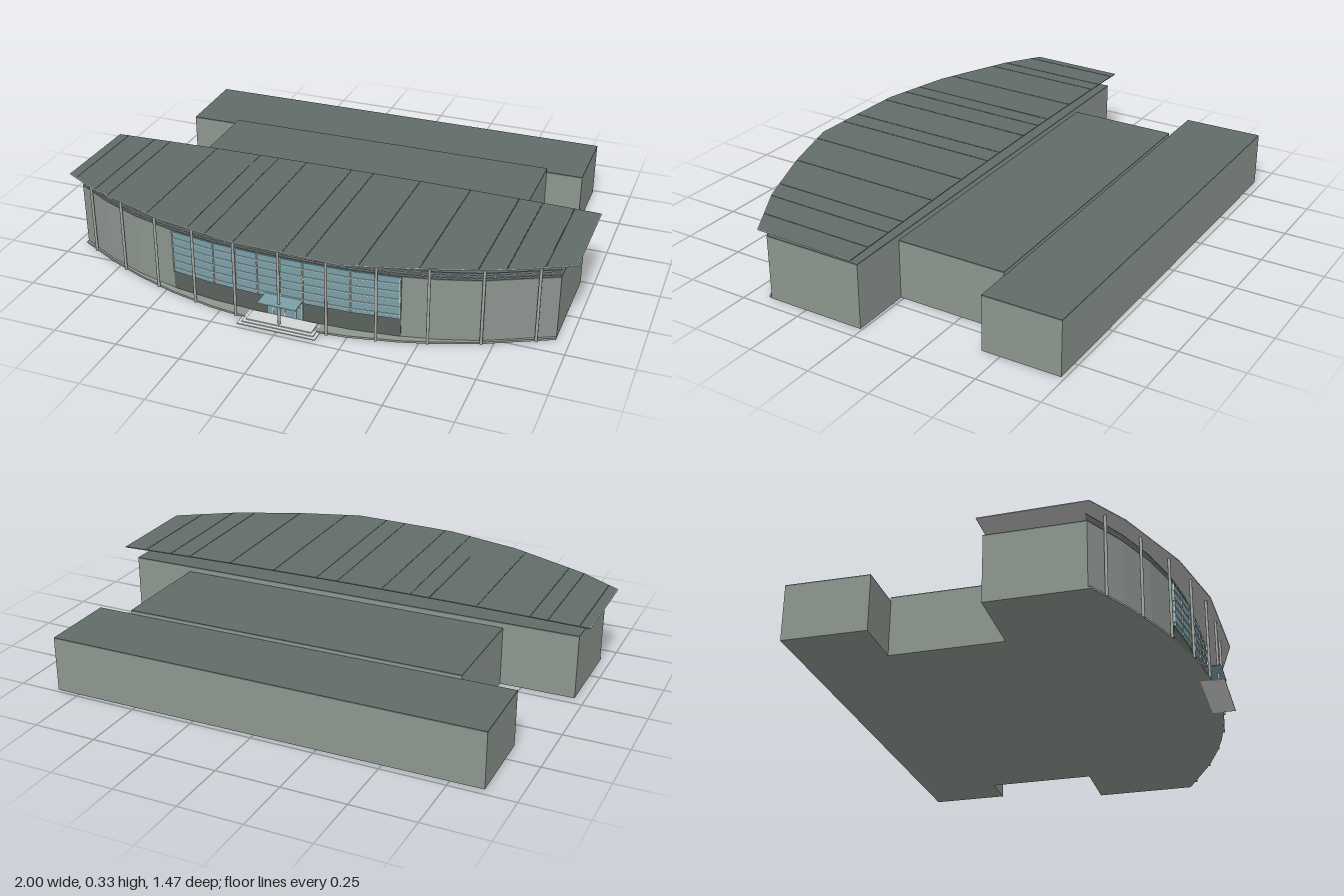
import * as THREE from 'three';

const mat = (name, color) => {
  const m = new THREE.MeshStandardMaterial({ color });
  m.name = name;
  return m;
};

export function createModel() {
  const model = new THREE.Group();
  const wall = mat('wall grey', 0x8d968f);
  const roofing = mat('roof slate', 0x616c69);
  const soffitGrey = mat('soffit grey', 0xbcbcbc);
  const dark = mat('dark base', 0x5a625c);
  const glass = mat('glass blue', 0x7a9fa9);
  const frame = mat('frame white', 0xd2d7d4);
  const steel = mat('column steel', 0xa6aaa6);

  const group = name => {
    const g = new THREE.Group();
    g.name = name;
    model.add(g);
    return g;
  };
  const add = (parent, name, geo, material) => {
    const m = new THREE.Mesh(geo, material);
    m.name = name;
    parent.add(m);
    return m;
  };
  // Flat slab from a plan outline of [x, z] corners
  const slab = (parent, name, pts, y0, y1, material) => {
    const shape = new THREE.Shape(pts.map(([x, z]) => new THREE.Vector2(x, -z)));
    const geo = new THREE.ExtrudeGeometry(shape, { depth: y1 - y0, bevelEnabled: false });
    geo.rotateX(-Math.PI / 2).translate(0, y0, 0);
    return add(parent, name, geo, material);
  };
  const box = (parent, name, x0, x1, y0, y1, z0, z1, material) => {
    const geo = new THREE.BoxGeometry(x1 - x0, y1 - y0, z1 - z0);
    geo.translate((x0 + x1) / 2, (y0 + y1) / 2, (z0 + z1) / 2);
    return add(parent, name, geo, material);
  };
  // Round bar between two points
  const bar = (parent, name, a, b, r, material, sides = 6) => {
    const p = new THREE.Vector3(...a), q = new THREE.Vector3(...b);
    const d = q.clone().sub(p);
    const m = add(parent, name, new THREE.CylinderGeometry(r, r, d.length(), sides), material);
    m.position.copy(p).add(q).multiplyScalar(0.5);
    m.quaternion.setFromUnitVectors(new THREE.Vector3(0, 1, 0), d.normalize());
    return m;
  };
  // Height along a polyline of [x, z] points
  const along = (pts, x) => {
    let i = 0;
    while (i < pts.length - 2 && x > pts[i + 1][0]) i++;
    const [a, za] = pts[i], [b, zb] = pts[i + 1];
    return za + (zb - za) * (x - a) / (b - a);
  };

  // Bowed front of the hall, as facet corners
  const front = [-0.96, -0.8, -0.64, -0.47, -0.29, -0.11, 0.07, 0.25, 0.43, 0.56, 0.7, 0.95]
    .map(x => [x, 0.633 - 0.256 * Math.abs(x) ** 2.6]);
  const backZ = x => 0.0125 - 0.0175 * x;
  const columnZ = x => 0.69 - 0.3 * x * x;
  // Thin plates following the facets between x0 and x1
  const facing = (parent, name, x0, x1, y0, y1, off, thick, material) => {
    const part = front.filter(([x]) => x >= x0 - 0.001 && x <= x1 + 0.001);
    const outer = part.map(([x, z]) => [x, z + off + thick]);
    const inner = part.map(([x, z]) => [x, z + off]).reverse();
    slab(parent, name, [...outer, ...inner], y0, y1, material);
  };

  // Rear blocks with slate tops
  const blocks = group('rearBlocks');
  const backPlan = [[-0.875, -0.72], [0.843, -0.736], [0.845, -0.427], [-0.87, -0.397]];
  const midPlan = [[-0.665, -0.403], [0.7, -0.427], [0.7, 0.02], [-0.665, 0.04]];
  slab(blocks, 'backBlock', backPlan, 0, 0.215, wall);
  slab(blocks, 'backBlockRoof', backPlan, 0.215, 0.22, roofing);
  slab(blocks, 'middleBlock', midPlan, 0, 0.231, wall);
  slab(blocks, 'middleBlockRoof', midPlan, 0.231, 0.236, roofing);

  // Main hall, standing on a terrace that carries the columns
  const hall = group('hall');
  const hallPlan = [[-0.96, backZ(-0.96) + 0.012], ...front, [0.95, backZ(0.95) + 0.012]];
  slab(hall, 'hallWalls', hallPlan, 0, 0.253, wall);
  slab(hall, 'hallFlatRoof', hallPlan, 0.253, 0.258, roofing);
  const terraceEdge = front.map(([x, z]) => [x, Math.max(columnZ(x), z + 0.004)]);
  slab(hall, 'terrace', [[-0.96, 0.3], ...terraceEdge, [0.95, 0.3]], 0, 0.008, wall);
  facing(hall, 'windowBase', -0.47, 0.43, 0.008, 0.083, 0, 0.002, dark);

  // Glazed front with its grid of frames
  const windows = group('windowFront');
  facing(windows, 'windowGlass', -0.47, 0.43, 0.083, 0.255, 0, 0.006, glass);
  for (let i = 0; i < 5; i++) {
    const y = 0.1 + i * 0.032;
    facing(windows, 'windowRail', -0.47, 0.43, y - 0.0017, y + 0.0017, 0.006, 0.003, frame);
  }
  for (let i = 0; i <= 10; i++) {
    const x = -0.467 + i * 0.0894, z = along(front, x);
    box(windows, 'windowMullion', x - 0.002, x + 0.002, 0.083, 0.255, z + 0.004, z + 0.01, frame);
  }

  // Open railing above the front wall
  const railing = group('railing');
  for (const y of [0.266, 0.275, 0.284])
    facing(railing, 'railingBar', -0.96, 0.95, y - 0.0015, y + 0.0015, -0.006, 0.003, y > 0.28 ? glass : frame);
  for (let i = 0; i <= 64; i++) {
    const x = -0.957 + i * 0.02975, z = along(front, x) - 0.0045;
    box(railing, 'railingPost', x - 0.001, x + 0.001, 0.257, 0.285, z - 0.001, z + 0.001, frame);
  }

  // Entrance: doors, glass canopy and steps
  const entrance = group('entrance');
  box(entrance, 'doorGlass', -0.075, 0.065, 0.008, 0.075, 0.63, 0.638, glass);
  for (const x of [-0.075, -0.05, -0.005, 0.04, 0.065])
    box(entrance, 'doorPost', x - 0.002, x + 0.002, 0.008, 0.077, 0.63, 0.641, frame);
  for (const y of [0.058, 0.076])
    box(entrance, 'doorRail', -0.076, 0.066, y - 0.0018, y + 0.0018, 0.63, 0.641, frame);
  box(entrance, 'canopy', -0.08, 0.07, 0.094, 0.097, 0.63, 0.71, glass);
  box(entrance, 'canopyEdge', -0.081, 0.071, 0.0935, 0.0975, 0.709, 0.711, frame);
  for (let i = 0; i < 3; i++)
    box(entrance, 'step', -0.155 + i * 0.012, 0.15 - i * 0.012, i * 0.004, (i + 1) * 0.004, 0.64, 0.73 - i * 0.014, frame);

  // Canopy roof: a thin, gently arched sheet with a faceted front edge
  const edge = [[-1, 0.42], [-0.84, 0.51], [-0.51, 0.635], [-0.2, 0.7], [0.24, 0.712],
    [0.5, 0.635], [0.77, 0.53], [1, 0.4]];
  const frontZ = x => along(edge, x);
  const roofY = (x, z) => 0.3035 + 0.012 * (1 - x * x) + 0.0135 * z;
  const seams = [-0.96, -0.84, -0.77, -0.56, -0.37, -0.29, -0.17, 0.02, 0.11, 0.3, 0.5, 0.69, 0.78, 0.9];
  const stations = [...new Set([...edge.map(p => p[0]), ...seams])].sort((a, b) => a - b);
  const sheet = (dy, up) => {
    const pos = [], idx = [];
    stations.forEach((x, i) => {
      for (const z of [backZ(x), frontZ(x)]) pos.push(x, roofY(x, z) + dy, z);
      if (!i) return;
      const a = 2 * i - 2, b = a + 1, c = a + 2, d = a + 3;
      idx.push(...(up ? [a, b, c, c, b, d] : [a, c, b, c, d, b]));
    });
    const geo = new THREE.BufferGeometry();
    geo.setAttribute('position', new THREE.Float32BufferAttribute(pos, 3));
    geo.setIndex(idx);
    geo.computeVertexNormals();
    return geo;
  };
  const roof = group('canopyRoof');
  add(roof, 'roofSheet', sheet(0, true), roofing);
  add(roof, 'roofSoffit', sheet(-0.004, false), soffitGrey);
  const rim = (x, z) => [x, roofY(x, z) - 0.002, z];
  for (let i = 1; i < stations.length; i++) {
    const a = stations[i - 1], b = stations[i];
    bar(roof, 'frontTrim', rim(a, frontZ(a)), rim(b, frontZ(b)), 0.0026, frame);
    bar(roof, 'backTrim', rim(a, backZ(a)), rim(b, backZ(b)), 0.0022, roofing);
  }
  for (const x of [-1, 1]) bar(roof, 'sideTrim', rim(x, backZ(x)), rim(x, frontZ(x)), 0.0024, frame);
  for (const x of seams) {
    const a = backZ(x), b = frontZ(x);
    bar(roof, 'roofSeam', [x, roofY(x, a), a], [x, roofY(x, b), b], 0.0015, roofing, 4);
  }

  // Row of slim columns
  const columns = group('columns');
  for (let i = -5; i <= 5; i++) {
    const x = i * 0.178 - 0.004, z = columnZ(x);
    bar(columns, 'column', [x, 0, z], [x, roofY(x, z) - 0.003, z], 0.0055, steel, 10);
  }
  return model;
}
